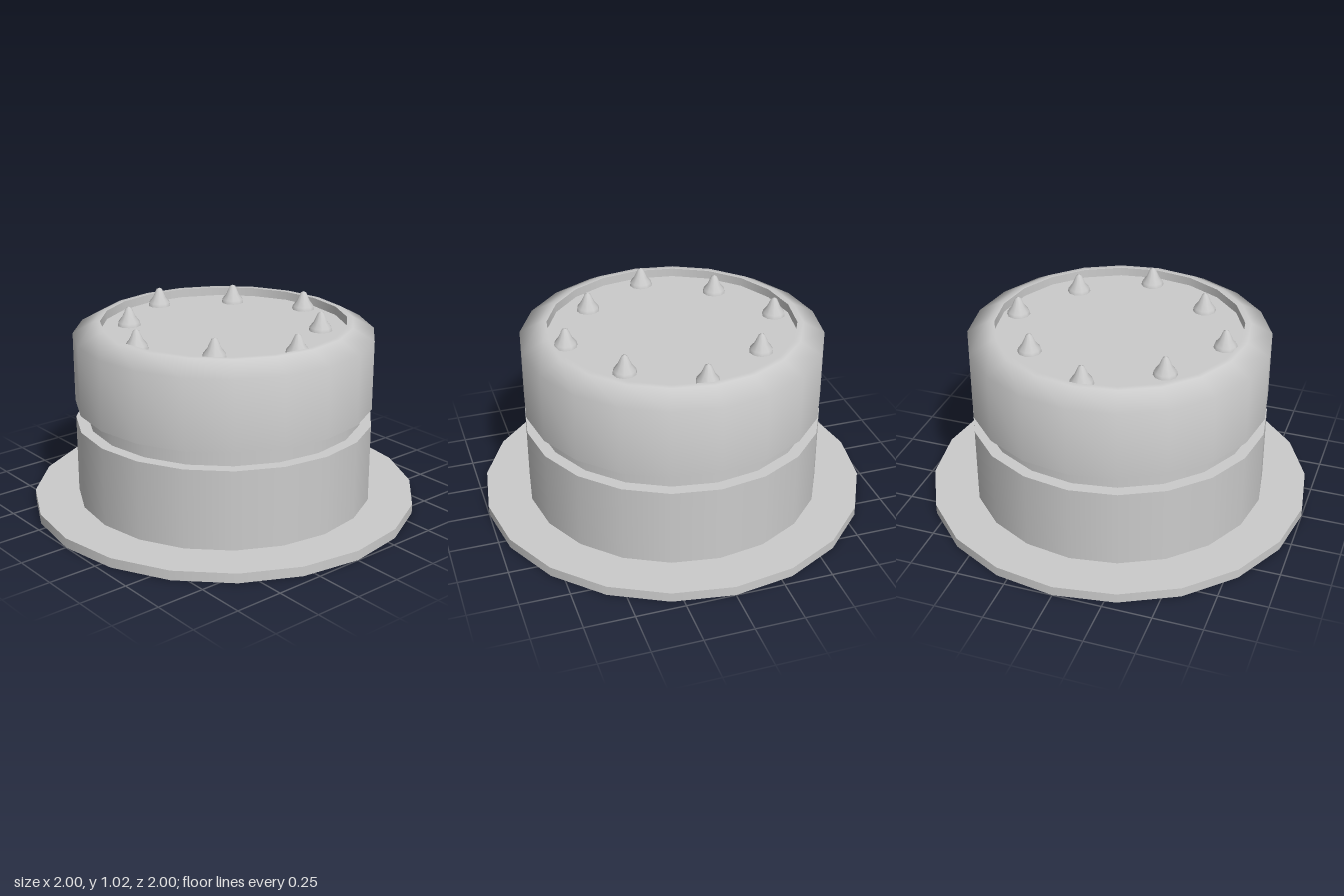
import * as THREE from 'three';

const SIDES = 20;
const material = new THREE.MeshStandardMaterial({ color: 0xcccccc });

// Revolves a profile of [radius, height] points; smooth along its length
function revolve(name, profile, sides = SIDES) {
  const points = profile.map(([r, y]) => new THREE.Vector2(r, y));
  const mesh = new THREE.Mesh(new THREE.LatheGeometry(points, sides), material);
  mesh.name = name;
  return mesh;
}

export function createModel() {
  const model = new THREE.Group();
  model.name = 'spikedCap';

  // Flat flange at the bottom
  const flange = new THREE.Mesh(new THREE.CylinderGeometry(1, 1, 0.05, SIDES), material);
  flange.name = 'flange';
  flange.position.y = 0.025;
  model.add(flange);

  // Body: separate bands keep the groove edges sharp
  model.add(
    revolve('lowerBody', [[0.77, 0.05], [0.77, 0.46]]),
    revolve('grooveLowerLedge', [[0.77, 0.46], [0.71, 0.46]]),
    revolve('grooveWall', [[0.71, 0.46], [0.71, 0.55]]),
    revolve('grooveUpperLedge', [[0.71, 0.55], [0.77, 0.55]]),
    // Upper body rolls softly over into the rim
    revolve('upperBody', [[0.77, 0.55], [0.77, 0.91], [0.66, 0.97], [0.63, 0.97]]),
    revolve('recessWall', [[0.63, 0.97], [0.63, 0.925]]),
    revolve('recessFloor', [[0.63, 0.925], [0, 0.925]])
  );

  // Ring of eight small spikes, the diagonal ones set slightly inwards
  const spikeProfile = [[0.06, 0], [0.056, 0.018], [0.035, 0.045], [0.015, 0.09], [0, 0.097]];
  for (let i = 0; i < 8; i++) {
    const angle = (i * Math.PI) / 4;
    const radius = i % 2 ? 0.49 : 0.55;
    const spike = revolve(`spike${i + 1}`, spikeProfile, 10);
    spike.position.set(Math.sin(angle) * radius, 0.925, Math.cos(angle) * radius);
    model.add(spike);
  }

  return model;
}
